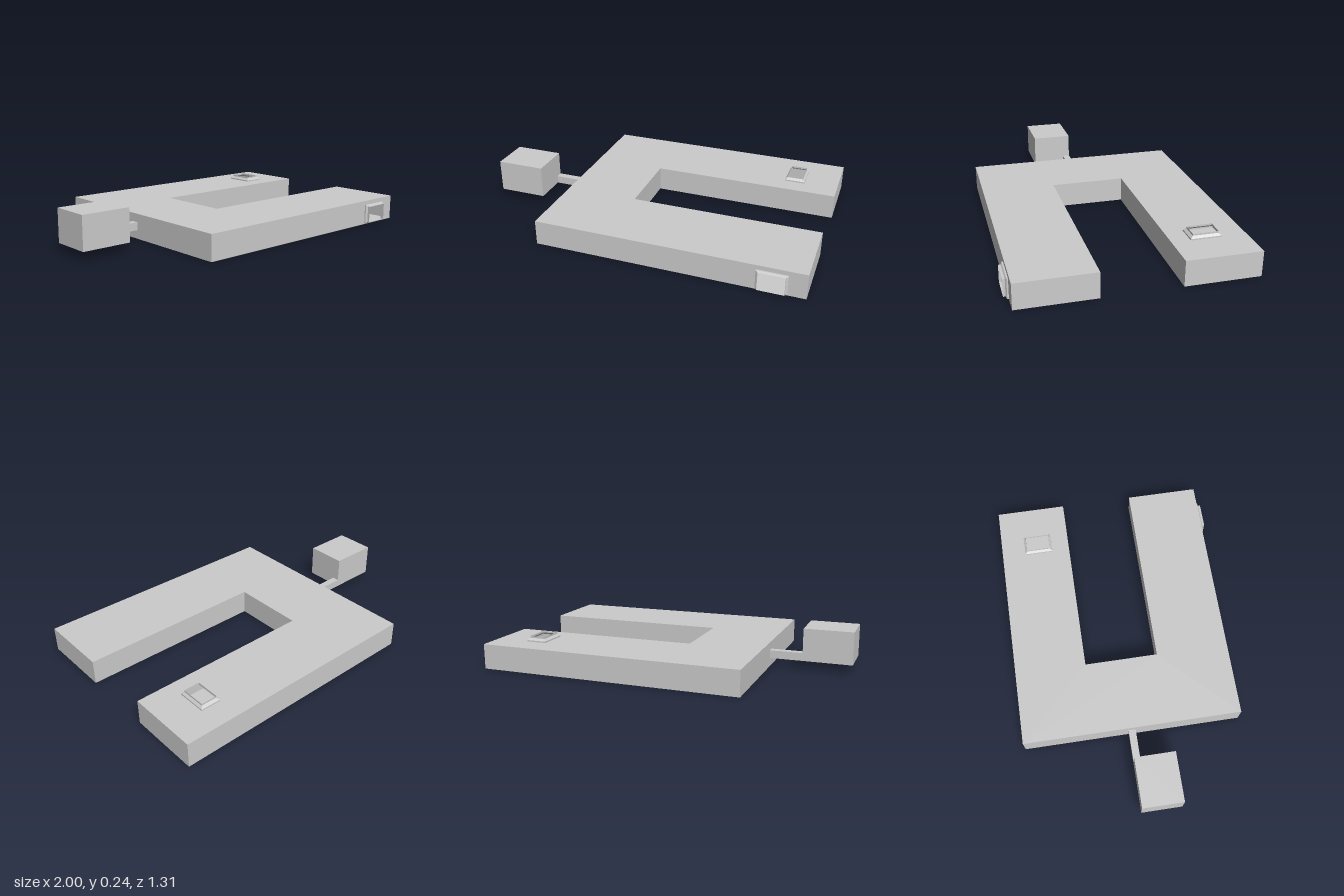
import * as THREE from 'three';

const grey = new THREE.MeshStandardMaterial({ color: 0xcccccc, flatShading: true });
const shell = new THREE.MeshStandardMaterial({ color: 0xcccccc, flatShading: true, side: THREE.DoubleSide });

const HEIGHT = 0.145;
// U-shaped outline as [x, z], starting along the front edge
const OUTLINE = [
  [-0.525, 0.63], [1, 0.63], [1, 0.2], [-0.1, 0.2],
  [-0.1, -0.235], [1, -0.235], [1, -0.656], [-0.525, -0.656],
];
// Openings under the two raised frames: centre and base size
const TOP_PORT = { x: 0.743, z: -0.427, w: 0.118, h: 0.172 };
const FRONT_PORT = { x: 0.819, y: 0.062, w: 0.17, h: 0.115 };

function mesh(name, geometry, material = grey) {
  const m = new THREE.Mesh(geometry, material);
  m.name = name;
  return m;
}

function box(name, [x0, x1], [y0, y1], [z0, z1]) {
  const m = mesh(name, new THREE.BoxGeometry(x1 - x0, y1 - y0, z1 - z0));
  m.position.set((x0 + x1) / 2, (y0 + y1) / 2, (z0 + z1) / 2);
  return m;
}

function polygon(points) {
  return points.map(([x, y]) => new THREE.Vector2(x, y));
}

function rect(x, y, w, h) {
  return [[x - w / 2, y - h / 2], [x + w / 2, y - h / 2], [x + w / 2, y + h / 2], [x - w / 2, y + h / 2]];
}

// Flat panel with an optional rectangular opening
function panel(points, hole) {
  const shape = new THREE.Shape(polygon(points));
  if (hole) shape.holes.push(new THREE.Path(polygon(hole)));
  return new THREE.ShapeGeometry(shape);
}

// Open rectangular collar lofted through [width, height, offset] rings along +z
function collar(name, rings) {
  const position = [];
  const index = [];
  rings.forEach(([w, h, z], r) => {
    rect(0, 0, w, h).forEach(([x, y], i) => {
      position.push(x, y, z);
      if (r === 0) return;
      const a = (r - 1) * 4 + i, b = (r - 1) * 4 + (i + 1) % 4;
      index.push(a, b, b + 4, a, b + 4, a + 4);
    });
  });
  const g = new THREE.BufferGeometry();
  g.setAttribute('position', new THREE.Float32BufferAttribute(position, 3));
  g.setIndex(index);
  const flat = g.toNonIndexed();
  flat.computeVertexNormals();
  return mesh(name, flat, shell);
}

export function createModel() {
  const model = new THREE.Group();
  model.name = 'model';

  // Hollow U-shaped body: bottom, top and one wall per outline edge
  const body = new THREE.Group();
  body.name = 'body';
  const plan = OUTLINE.map(([x, z]) => [x, -z]);
  const bottom = mesh('bodyBottom', panel(plan).rotateX(-Math.PI / 2), shell);
  const t = TOP_PORT;
  const top = mesh('bodyTop', panel(plan, rect(t.x, -t.z, t.w, t.h)).rotateX(-Math.PI / 2), shell);
  top.position.y = HEIGHT;
  body.add(bottom, top);

  const f = FRONT_PORT;
  OUTLINE.forEach(([x, z], i) => {
    const [nx, nz] = OUTLINE[(i + 1) % OUTLINE.length];
    const length = Math.hypot(nx - x, nz - z);
    const hole = i === 0 ? rect(f.x - x, f.y, f.w, f.h) : null;
    const wall = mesh('bodyWall', panel([[0, 0], [length, 0], [length, HEIGHT], [0, HEIGHT]], hole), shell);
    wall.position.set(x, 0, z);
    wall.rotation.y = Math.atan2(z - nz, nx - x);
    body.add(wall);
  });
  model.add(body);

  // Raised open frame on the top of the rear arm
  const topFrame = collar('topFrame', [
    [t.w, t.h, 0], [t.w, t.h, 0.008], [0.094, 0.144, 0.02], [0.094, 0.144, 0.03],
  ]);
  topFrame.rotation.x = -Math.PI / 2;
  topFrame.position.set(t.x, HEIGHT, t.z);

  // Raised open frame on the front face of the front arm
  const frontFrame = collar('frontFrame', [
    [f.w, f.h, 0], [f.w, f.h, 0.008], [0.146, 0.097, 0.014], [0.146, 0.097, 0.027],
  ]);
  frontFrame.position.set(f.x, f.y, 0.63);
  model.add(topFrame, frontFrame);

  // Side block joined to the body by a thin rod
  model.add(
    box('connectingRod', [-0.715, -0.525], [0.05, 0.096], [-0.038, 0.004]),
    box('sideBlock', [-1, -0.715], [0.05, 0.24], [-0.038, 0.2]),
  );
  return model;
}
